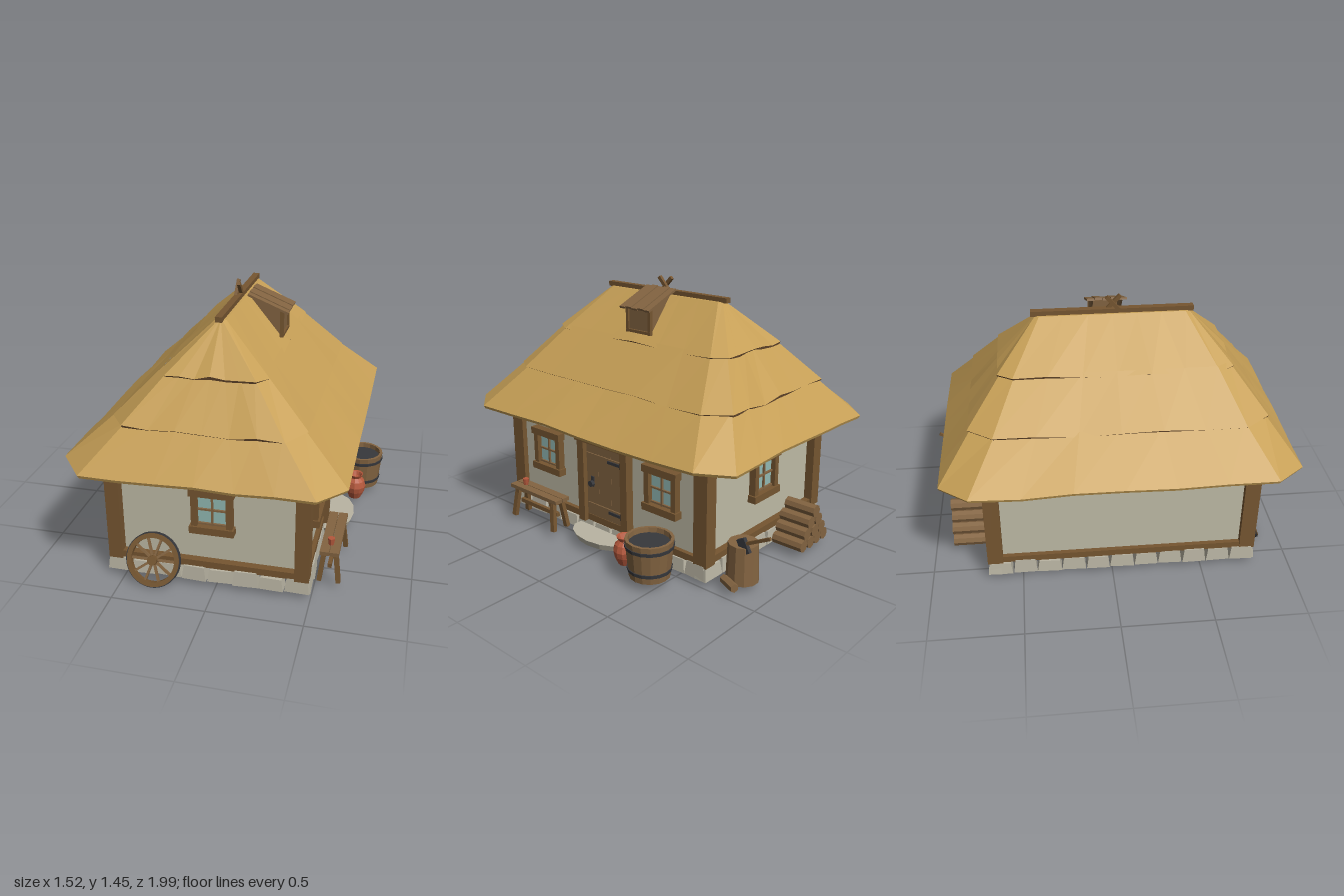
import * as THREE from 'three';

const mat = (name, color) => { const m = new THREE.MeshStandardMaterial({ color }); m.name = name; return m; };
const M = {
  thatch: mat('thatch', 0xc69f56), under: mat('thatchUnderside', 0x705031), wall: mat('plaster', 0xbfbba6),
  dark: mat('darkWood', 0x765631), wood: mat('wood', 0x836441), stone: mat('stone', 0xb9b4a3),
  glass: mat('glass', 0x93bab4), clay: mat('clay', 0xb4583c), iron: mat('iron', 0x37383c), floor: mat('floor', 0xc2bcb4),
};
const CX = -0.045, CZ = 0.055;
let seed = 7;
const rnd = () => (seed = (seed * 16807) % 2147483647) / 2147483647;

const flat = g => { const f = g.index ? g.toNonIndexed() : g; f.computeVertexNormals(); return f; };
function add(parent, name, geo, m, pos = [0, 0, 0], rot = [0, 0, 0]) {
  const mesh = new THREE.Mesh(geo, m);
  mesh.name = name; mesh.position.set(...pos); mesh.rotation.set(...rot);
  parent.add(mesh);
  return mesh;
}
const box = (p, name, m, size, pos, rot) => add(p, name, new THREE.BoxGeometry(...size), m, pos, rot);
const cyl = (p, name, m, rt, rb, h, n, pos, rot) => add(p, name, flat(new THREE.CylinderGeometry(rt, rb, h, n)), m, pos, rot);
const lathe = (p, name, m, pts, n, pos) =>
  add(p, name, flat(new THREE.LatheGeometry(pts.map(q => new THREE.Vector2(...q)), n)), m, pos);
function group(parent, name, pos = [0, 0, 0], rotY = 0) {
  const g = new THREE.Group();
  g.name = name; g.position.set(...pos); g.rotation.y = rotY;
  parent.add(g);
  return g;
}

// Rectangle ring with cut corners; wave holds one height offset per point
function ring(hx, hz, cx, cz, y, wave) {
  const c = [[hx, -hz + cz], [hx, hz - cz], [hx - cx, hz], [cx - hx, hz], [-hx, hz - cz], [-hx, cz - hz], [cx - hx, -hz], [hx - cx, -hz]];
  const pts = [];
  c.forEach((a, i) => {
    const b = c[(i + 1) % 8], n = i % 2 ? 1 : 6;
    for (let k = 0; k < n; k++) {
      const t = k / n;
      pts.push(new THREE.Vector3(CX + a[0] + (b[0] - a[0]) * t, y + (wave ? wave[pts.length] : 0), 0.045 + a[1] + (b[1] - a[1]) * t));
    }
  });
  return pts;
}
function loft(rings) {
  const pos = [];
  for (let r = 0; r + 1 < rings.length; r++) {
    const lo = rings[r], hi = rings[r + 1];
    lo.forEach((a, i) => {
      const j = (i + 1) % lo.length;
      for (const v of [a, hi[i], lo[j], lo[j], hi[i], hi[j]]) pos.push(v.x, v.y, v.z);
    });
  }
  const g = new THREE.BufferGeometry();
  g.setAttribute('position', new THREE.Float32BufferAttribute(pos, 3));
  g.computeVertexNormals();
  return g;
}

function buildRoof(root) {
  const roof = group(root, 'roof');
  // lower edge, upper edge and underside of each layer: hx, hz, cutX, cutZ, y
  const tiers = [
    { lo: [0.715, 0.945, 0.13, 0.155, 0.7], hi: [0.475, 0.765, 0.085, 0.12, 0.92], inn: [0.48, 0.7, 0.08, 0.1, 0.745] },
    { lo: [0.497, 0.787, 0.09, 0.13, 0.907], hi: [0.262, 0.6, 0.045, 0.07, 1.14], inn: [0.42, 0.7, 0.08, 0.11, 0.93] },
    { lo: [0.282, 0.622, 0.05, 0.08, 1.127], hi: [0.028, 0.41, 0.015, 0.02, 1.355], inn: [0.2, 0.54, 0.04, 0.07, 1.15] },
  ];
  tiers.forEach(({ lo, hi, inn }, i) => {
    const wave = Array.from({ length: 28 }, () => (rnd() - 0.5) * 0.022);
    // the dark lip of the upper layers varies in thickness
    const lip = wave.map(w => w - (i ? 0.002 + rnd() * 0.02 : 0.016));
    const edge = ring(...lo, wave);
    const bottom = ring(lo[0] - 0.006, lo[1] - 0.006, lo[2], lo[3], lo[4], lip);
    const rings = [edge, ring(...hi)];
    if (i === 0) rings.unshift(bottom);
    if (i === 2) rings.push(ring(0, 0.4, 0, 0, 1.358));
    add(roof, 'thatchLayer', loft(rings), M.thatch);
    add(roof, 'thatchUnderside', loft(i ? [ring(...inn), bottom, edge] : [ring(...inn), bottom]), M.under);
  });
  box(roof, 'ridgePole', M.dark, [0.036, 0.028, 0.87], [CX - 0.002, 1.366, 0.045]);
  for (const s of [-1, 1])
    box(roof, 'ridgeCross', M.dark, [0.018, 0.11, 0.02], [CX - 0.002 + s * 0.009, 1.405, 0.05], [s * 0.75, 0, 0]);

  // Dormer
  const d = group(roof, 'dormer', [0, 0, 0.023]);
  for (let i = -2; i <= 2; i++)
    box(d, 'dormerPlank', M.wood, [0.238, 0.012, 0.041], [0.13, 1.353 + Math.abs(i % 2) * 0.004, i * 0.0435], [0, 0, -0.388]);
  const tri = new THREE.Shape([[0.03, 1.385], [0.2, 1.175], [0.2, 1.315]].map(q => new THREE.Vector2(...q)));
  for (const z of [-0.085, 0.073])
    add(d, 'dormerCheek', new THREE.ExtrudeGeometry(tri, { depth: 0.012, bevelEnabled: false }), M.wood, [0, 0, z]);
  box(d, 'dormerPanel', M.wood, [0.012, 0.13, 0.16], [0.195, 1.25, 0]);
  for (const s of [-1, 1]) {
    box(d, 'dormerPost', M.dark, [0.02, 0.15, 0.018], [0.202, 1.245, s * 0.081]);
    box(d, 'dormerRail', M.dark, [0.02, 0.016, 0.178], [0.203, 1.245 + s * 0.065, 0]);
  }
}

function buildWindow(root, pos, rotY) {
  const w = group(root, 'window', pos, rotY);
  box(w, 'pane', M.glass, [0.16, 0.19, 0.009], [0, 0.455, 0.008]);
  for (const s of [-1, 1]) {
    box(w, 'frameSide', M.dark, [0.032, 0.2, 0.04], [s * 0.092, 0.45, 0.02]);
    box(w, 'frameRail', M.dark, [0.235, 0.04, 0.05], [0, 0.45 + s * 0.108, 0.025]);
    box(w, 'sashRail', M.wood, [0.16, 0.01, 0.02], [0, 0.453 + s * 0.082, 0.014]);
  }
  box(w, 'muntin', M.wood, [0.01, 0.18, 0.018], [0, 0.45, 0.014]);
  box(w, 'muntin', M.wood, [0.16, 0.01, 0.018], [0, 0.453, 0.014]);
}

function buildHouse(root) {
  const h = group(root, 'house');
  box(h, 'walls', M.wall, [1.01, 0.64, 1.39], [CX, 0.46, CZ]);
  box(h, 'foundation', M.dark, [1.0, 0.04, 1.4], [CX, 0.12, CZ]);
  box(h, 'floor', M.floor, [0.99, 0.008, 1.1], [CX, 0.098, CZ]);
  for (const s of [-1, 1]) {
    box(h, 'sillBeam', M.dark, [1.06, 0.038, 0.05], [CX, 0.133, CZ + s * 0.71]);
    box(h, 'sillBeam', M.dark, [0.05, 0.038, 1.48], [CX + s * 0.505, 0.133, CZ]);
    for (const t of [-1, 1])
      box(h, 'cornerPost', M.dark, [0.075, 0.64, 0.085], [CX + s * 0.498, 0.43, CZ + t * 0.703]);
  }
  // Foundation stones, narrower at the top, each turned a little
  const stone = (x, z, len, rotY) => {
    const ht = 0.066 + rnd() * 0.018, g = new THREE.BoxGeometry(len, ht, 0.075), p = g.attributes.position;
    for (let i = 0; i < p.count; i++)
      if (p.getY(i) > 0) p.setXYZ(i, p.getX(i) * 0.84, p.getY(i), p.getZ(i) * 0.8);
    add(h, 'foundationStone', flat(g), M.stone, [x, 0.04 + ht / 2, z], [0, rotY + (rnd() - 0.5) * 0.12, 0]);
  };
  for (const s of [-1, 1]) {
    for (let i = 0; i < 8; i++) stone(CX + (i - 3.5) * 0.136, CZ + s * (0.706 + rnd() * 0.01), 0.13 + rnd() * 0.008, 0);
    for (let i = 0; i < 11; i++) stone(CX + s * (0.498 + rnd() * 0.01), CZ + (i - 5) * 0.135, 0.128 + rnd() * 0.008, Math.PI / 2);
  }
  buildWindow(h, [-0.017, 0, 0.75], 0);
  buildWindow(h, [CX, 0, -0.64], Math.PI);
  for (const z of [0.493, -0.385]) buildWindow(h, [0.46, 0, z], Math.PI / 2);

  // Door
  const d = group(h, 'door', [0.46, 0, 0.03], Math.PI / 2);
  for (let i = -1; i <= 1; i++) box(d, 'doorBoard', M.wood, [0.096, 0.48, 0.02], [i * 0.097, 0.35, 0.012]);
  for (const s of [-1, 1]) box(d, 'doorJamb', M.dark, [0.048, 0.49, 0.05], [s * 0.165, 0.355, 0.025]);
  box(d, 'doorLintel', M.dark, [0.4, 0.055, 0.06], [0, 0.622, 0.03]);
  box(d, 'doorLintelCap', M.dark, [0.41, 0.018, 0.07], [0, 0.652, 0.035]);
  for (const y of [0.21, 0.51]) {
    box(d, 'doorBatten', M.wood, [0.27, 0.035, 0.01], [0, y, 0.024]);
    box(d, 'hinge', M.iron, [0.1, 0.016, 0.008], [0.085, y, 0.032]);
    cyl(d, 'hingePin', M.iron, 0.012, 0.012, 0.035, 6, [0.135, y, 0.03]);
  }
  box(d, 'lockPlate', M.iron, [0.022, 0.06, 0.008], [-0.095, 0.36, 0.025]);
  cyl(d, 'doorKnob', M.iron, 0.018, 0.018, 0.02, 8, [-0.095, 0.35, 0.036], [Math.PI / 2, 0, 0]);
  const step = add(d, 'doorStep', flat(new THREE.CylinderGeometry(0.205, 0.185, 0.036, 14)), M.stone, [0, 0.066, 0.05]);
  step.scale.z = 0.62;
}

function buildWheel(root) {
  const w = group(root, 'cartWheel', [-0.325, 0.146, 0.825]);
  w.rotation.x = -0.35;
  const hoop = (name, m, ro, ri, depth) => {
    const s = new THREE.Shape().absarc(0, 0, ro, 0, Math.PI * 2);
    s.holes.push(new THREE.Path().absarc(0, 0, ri, 0, Math.PI * 2, true));
    add(w, name, new THREE.ExtrudeGeometry(s, { depth, bevelEnabled: false, curveSegments: 24 }), m, [0, 0, -depth / 2]);
  };
  hoop('rim', M.dark, 0.142, 0.117, 0.03);
  hoop('tyre', M.iron, 0.147, 0.141, 0.02);
  cyl(w, 'hub', M.dark, 0.026, 0.026, 0.06, 10, [0, 0, 0], [Math.PI / 2, 0, 0]);
  for (let i = 0; i < 10; i++) {
    const a = i * Math.PI / 5;
    box(w, 'spoke', M.wood, [0.1, 0.012, 0.014], [Math.cos(a) * 0.07, Math.sin(a) * 0.07, 0], [0, 0, a]);
  }
}

function buildYard(root) {
  // Bench with a cup
  const b = group(root, 'bench', [0.575, 0, 0.485]);
  for (const s of [-1, 1]) {
    box(b, 'benchBoard', M.wood, [0.048, 0.022, 0.4], [s * 0.026, 0.222, 0]);
    box(b, 'benchBrace', M.dark, [0.09, 0.025, 0.025], [0, 0.2, s * 0.145]);
    for (const t of [-1, 1]) box(b, 'benchLeg', M.dark, [0.024, 0.176, 0.03], [t * 0.04, 0.127, s * 0.162], [-s * 0.12, 0, t * 0.12]);
  }
  box(b, 'benchStretcher', M.dark, [0.02, 0.024, 0.32], [0, 0.125, 0]);
  cyl(b, 'cup', M.clay, 0.019, 0.014, 0.038, 8, [0, 0.252, 0.12]);

  lathe(root, 'clayPot', M.clay, [[0, 0], [0.036, 0], [0.056, 0.045], [0.063, 0.08], [0.053, 0.115], [0.033, 0.135],
    [0.045, 0.158], [0.036, 0.155], [0.026, 0.135], [0, 0.12]], 12, [0.615, 0.04, -0.245]);

  // Barrel
  const k = group(root, 'barrel', [0.63, 0.05, -0.435]);
  lathe(k, 'barrelStaves', M.wood, [[0.108, 0], [0.128, 0.21], [0.112, 0.21], [0.108, 0.17]], 16);
  cyl(k, 'barrelWater', M.iron, 0.111, 0.111, 0.006, 16, [0, 0.18, 0]);
  cyl(k, 'barrelBottom', M.iron, 0.107, 0.107, 0.006, 16, [0, 0.006, 0]);
  for (const [y, r] of [[0.045, 0.115], [0.172, 0.127]])
    lathe(k, 'barrelHoop', M.iron, [[r - 0.002, -0.009], [r + 0.002, -0.009], [r + 0.004, 0.009], [r - 0.001, 0.009]], 16, [0, y, 0]);

  // Chopping block and axe
  cyl(root, 'choppingBlock', M.wood, 0.08, 0.087, 0.21, 11, [0.34, 0.145, -0.81]);
  cyl(root, 'splitLog', M.wood, 0.024, 0.024, 0.11, 6, [0.455, 0.064, -0.81], [Math.PI / 2, 0, 0.4]);
  const axe = group(root, 'axe', [0.385, 0.265, -0.845]);
  box(axe, 'axeHandle', M.dark, [0.014, 0.016, 0.19], [0, 0.038, -0.07], [0.48, 0, 0]);
  box(axe, 'axeHead', M.iron, [0.022, 0.08, 0.05], [0, -0.01, 0], [0.48, 0, 0]);

  // Log pile
  const logs = group(root, 'logPile', [-0.21, 0.04, -0.805]);
  for (let row = 0; row < 4; row++)
    for (let i = 0; i < 4 - row; i++)
      cyl(logs, 'log', M.wood, 0.035, 0.035, 0.185, 8,
        [(i - (3 - row) / 2) * 0.07, 0.034 + row * 0.058, (rnd() - 0.5) * 0.012], [Math.PI / 2, 0, 0]);
}

export function createModel() {
  const root = new THREE.Group();
  root.name = 'cottage';
  buildHouse(root);
  buildRoof(root);
  buildWheel(root);
  buildYard(root);
  return root;
}
